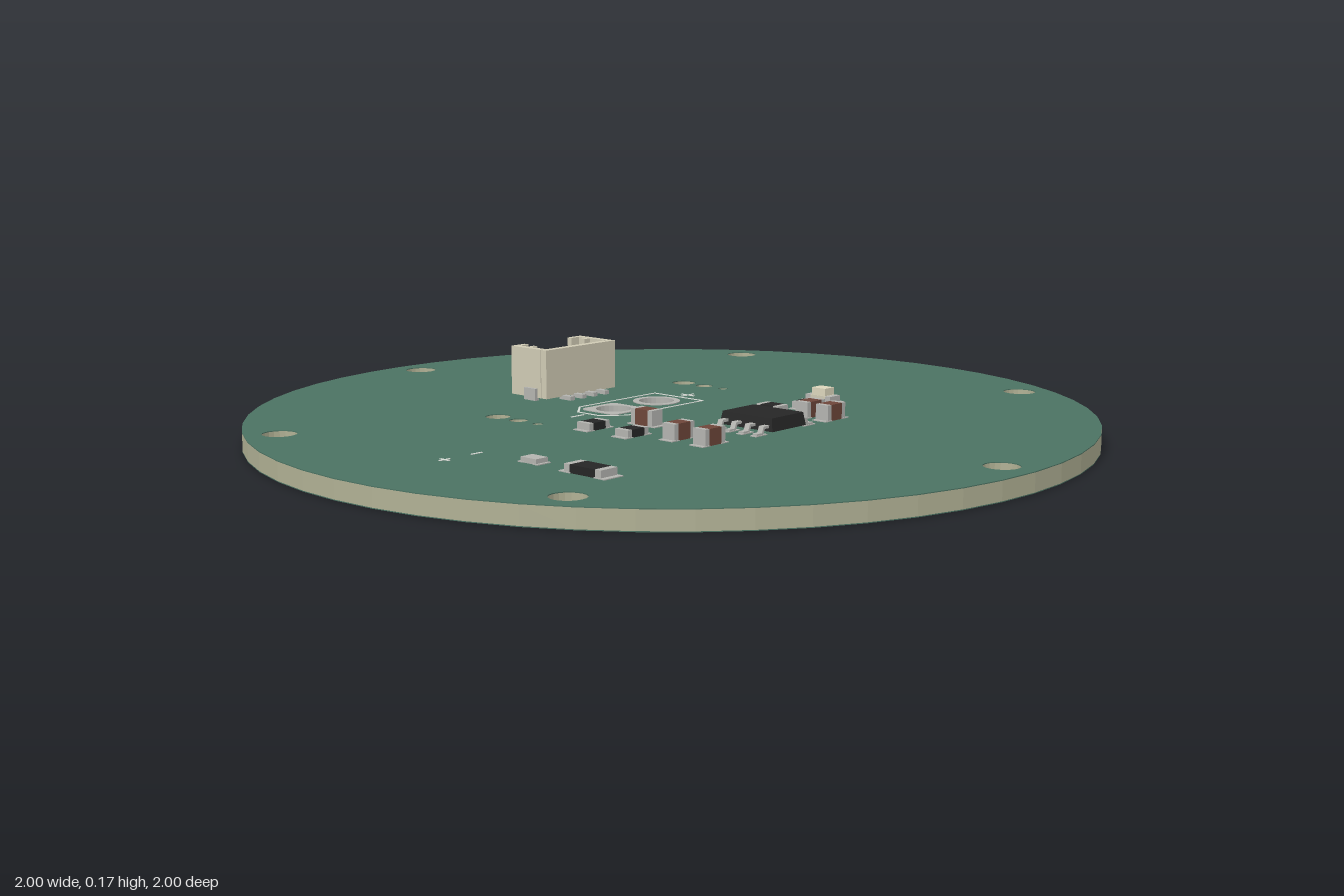
import * as THREE from 'three';

const TOP = 0.047; // upper surface of the board
const mat = (color, side = THREE.FrontSide) => new THREE.MeshStandardMaterial({ color, side, flatShading: true });
const MATS = {
  mask: mat(0x4b7262), core: mat(0xb0b094), copper: mat(0xb0a01a), tin: mat(0xb4b4b0),
  silk: mat(0xd8dcd6), black: mat(0x262626), brown: mat(0x6e463a), shell: mat(0xcfcab4),
  lens: mat(0xdcd6bc), barrel: mat(0xb4b4b0, THREE.DoubleSide),
};

function add(parent, name, geometry, material, x = 0, y = 0, z = 0) {
  const m = new THREE.Mesh(geometry, material);
  m.name = name;
  m.position.set(x, y, z);
  parent.add(m);
  return m;
}
const box = (parent, name, material, w, h, d, x, y, z) =>
  add(parent, name, new THREE.BoxGeometry(w, h, d), material, x, y, z);

// Polygonal circle drawn in the x-z plane
function circle(r, n, cx = 0, cz = 0, Type = THREE.Shape) {
  const pts = [];
  for (let i = 0; i < n; i++) {
    const a = (i / n) * Math.PI * 2;
    pts.push(new THREE.Vector2(cx + r * Math.cos(a), cz + r * Math.sin(a)));
  }
  return new Type(pts);
}

// Extrude an x-z outline downward from height y
function plate(shape, y, thickness, curveSegments = 8) {
  const g = new THREE.ExtrudeGeometry(shape, { depth: thickness, bevelEnabled: false, curveSegments });
  return g.rotateX(Math.PI / 2).translate(0, y, 0);
}

function boardShape() {
  const s = circle(1, 56);
  const hole = (x, z, r, n = 20) => s.holes.push(circle(r, n, x, z, THREE.Path));
  for (let i = 0; i < 6; i++) {
    const a = Math.PI / 6 + (i * Math.PI) / 3;
    hole(0.92 * Math.cos(a), 0.92 * Math.sin(a), 0.04);
  }
  for (const side of [-1, 1]) {
    hole(side * 0.325, -0.255, 0.03);
    hole(side * 0.325, -0.185, 0.022, 16);
    hole(side * 0.325, -0.12, 0.013, 12);
    hole(side * 0.075, -0.12, 0.046, 24);
  }
  return s;
}

// Copper strip following an arc, with round ends
function arcStrip(r, w, from, to) {
  const s = new THREE.Shape(), h = w / 2;
  s.absarc(0, 0, r + h, from, to, false);
  s.absarc(r * Math.cos(to), r * Math.sin(to), h, to, to + Math.PI, false);
  s.absarc(0, 0, r - h, to, from, true);
  s.absarc(r * Math.cos(from), r * Math.sin(from), h, from + Math.PI, from + 2 * Math.PI, false);
  return s;
}

function roundedSquare(h, r) {
  const s = new THREE.Shape();
  s.absarc(h - r, h - r, r, 0, Math.PI / 2, false);
  s.absarc(r - h, h - r, r, Math.PI / 2, Math.PI, false);
  s.absarc(r - h, r - h, r, Math.PI, Math.PI * 1.5, false);
  s.absarc(h - r, r - h, r, Math.PI * 1.5, Math.PI * 2, false);
  return s;
}

// Two-terminal chip: body between two metal ends on flat solder pads
function chip(parent, name, x, z, { len = 0.065, wid = 0.04, h = 0.018, body = MATS.black, upright = false, end = 0.2 }) {
  const g = new THREE.Group();
  g.name = name;
  g.position.set(x, TOP, z);
  if (upright) g.rotation.y = Math.PI / 2;
  const e = len * end;
  box(g, 'chipBody', body, len - 2 * e, h, wid, 0, h / 2, 0);
  for (const s of [-1, 1]) {
    box(g, 'chipEnd', MATS.tin, e, h, wid, s * (len - e) / 2, h / 2, 0);
    box(g, 'solderPad', MATS.tin, e * 1.9, 0.002, wid * 1.12, s * (len / 2 - e * 0.15), 0.001, 0);
  }
  parent.add(g);
  return g;
}

function integratedCircuit(parent) {
  const g = new THREE.Group();
  g.name = 'integratedCircuit';
  g.position.set(-0.005, TOP, 0.285);
  const body = new THREE.BoxGeometry(0.12, 0.03, 0.155);
  const p = body.attributes.position;
  for (let i = 0; i < p.count; i++) if (p.getY(i) > 0) p.setXYZ(i, p.getX(i) * 0.92, p.getY(i), p.getZ(i) * 0.94);
  add(g, 'packageBody', body, MATS.black, 0, 0.021, 0);
  // Gull-wing leads
  const lead = new THREE.Shape([[0.055, 0.014], [0.073, 0.014], [0.079, 0.001], [0.1, 0.001], [0.1, 0.006],
    [0.083, 0.006], [0.077, 0.02], [0.055, 0.02]].map(([a, b]) => new THREE.Vector2(a, b)));
  const leadGeo = new THREE.ExtrudeGeometry(lead, { depth: 0.014, bevelEnabled: false }).translate(0, 0, -0.007);
  for (const turn of [0, Math.PI]) for (let i = 0; i < 4; i++) {
    const z = (i - 1.5) * 0.04, s = turn ? -1 : 1;
    add(g, 'lead', leadGeo, MATS.tin, 0, 0, z).rotation.y = turn;
    box(g, 'solderPad', MATS.tin, 0.04, 0.002, 0.018, s * 0.086, 0.001, z);
  }
  parent.add(g);
}

function connector(parent) {
  const g = new THREE.Group();
  g.name = 'connector';
  g.position.set(0, TOP, -0.367);
  const b = (name, w, h, d, x, y, z, m = MATS.shell) => box(g, name, m, w, h, d, x, y, z);
  b('connectorFloor', 0.236, 0.035, 0.116, 0, 0.0255, 0);
  b('frontWall', 0.24, 0.12, 0.018, 0, 0.068, 0.053);
  b('backWall', 0.24, 0.088, 0.014, 0, 0.052, -0.055);
  for (const s of [-1, 1]) {
    b('sideWall', 0.018, 0.12, 0.09, s * 0.111, 0.068, -0.003);
    b('backWallTop', 0.045, 0.032, 0.014, s * 0.0975, 0.112, -0.055);
    b('keyRib', 0.02, 0.1, 0.012, s * 0.092, 0.078, -0.015);
    b('sideFoot', 0.012, 0.03, 0.04, s * 0.122, 0.016, 0.01, MATS.tin);
  }
  for (let i = 0; i < 4; i++) {
    const x = (i - 1.5) * 0.04;
    b('contactPin', 0.012, 0.075, 0.012, x, 0.075, 0.012, MATS.tin);
    b('solderTail', 0.014, 0.01, 0.04, x, 0.006, 0.072, MATS.tin);
    b('contactRib', 0.008, 0.09, 0.016, x + 0.02, 0.078, 0.037);
  }
  parent.add(g);
}

function line(parent, x1, z1, x2, z2, w = 0.006) {
  const m = box(parent, 'markingLine', MATS.silk, Math.hypot(x2 - x1, z2 - z1) + w * 0.5, 0.0015, w,
    (x1 + x2) / 2, TOP + 0.0005, (z1 + z2) / 2);
  m.rotation.y = -Math.atan2(z2 - z1, x2 - x1);
}

export function createModel() {
  const root = new THREE.Group();
  root.name = 'circuitBoard';

  // Board: core between two green layers
  const shape = boardShape();
  add(root, 'boardCore', plate(shape, TOP - 0.002, 0.042), MATS.core);
  add(root, 'topMask', plate(shape, TOP, 0.002), MATS.mask);
  add(root, 'bottomMask', plate(shape, 0.003, 0.002), MATS.mask);

  // Concentric contact tracks underneath
  const deg = Math.PI / 180;
  for (let i = 0; i < 4; i++) {
    const r = 0.505 + i * 0.087, cap = 0.031 / r;
    const strip = arcStrip(r, 0.062, 174 * deg + cap, 496.5 * deg - cap);
    add(root, 'contactTrack', plate(strip, 0.0015, 0.0015, 48), MATS.copper);
  }

  // Plated power holes: one squarish pad, one round
  for (const s of [-1, 1]) {
    const pad = s < 0 ? roundedSquare(0.058, 0.02) : circle(0.058, 28);
    pad.holes.push(circle(0.043, 24, 0, 0, THREE.Path));
    add(root, 'topPad', plate(pad, TOP + 0.002, 0.002), MATS.tin, s * 0.075, 0, -0.12);
    add(root, 'bottomPad', plate(pad, 0.0015, 0.0015), MATS.tin, s * 0.075, 0, -0.12);
    add(root, 'holeBarrel', new THREE.CylinderGeometry(0.043, 0.043, TOP, 24, 1, true), MATS.barrel, s * 0.075, TOP / 2, -0.12);
  }

  // Printed outline and polarity marks
  const marks = new THREE.Group();
  marks.name = 'printedMarks';
  root.add(marks);
  const outline = [[0.155, -0.2], [-0.11, -0.2], [-0.16, -0.155], [-0.16, -0.085], [-0.11, -0.04], [0.155, -0.04]];
  outline.forEach((p, i) => line(marks, ...p, ...outline[(i + 1) % outline.length], 0.005));
  for (const [x, z, r] of [[0.19, -0.12, 0.02], [-0.735, 0.03, 0.013]]) {
    line(marks, x - r, z, x + r, z);
    line(marks, x, z - r, x, z + r);
  }
  line(marks, -0.215, -0.12, -0.175, -0.12);
  line(marks, -0.66, 0.03, -0.632, 0.03);

  // Resistors
  for (const [x, z, upright] of [[-0.28, 0.015], [-0.28, 0.135], [0.255, 0.207], [0.16, 0.177, true]])
    chip(root, 'resistor', x, z, { upright });
  // Capacitors
  for (const [x, z, upright] of [[-0.235, 0.235], [-0.235, 0.325], [0.175, 0.28], [0.175, 0.34], [-0.165, 0.073, true]])
    chip(root, 'capacitor', x, z, { upright, h: 0.038, wid: 0.036, body: MATS.brown });
  // Fuse, small diode and indicator lamp
  chip(root, 'fuse', -0.625, 0.35, { upright: true, len: 0.105, wid: 0.048, body: MATS.black, end: 0.16 });
  chip(root, 'diode', -0.625, 0.185, { upright: true, len: 0.046, wid: 0.034, h: 0.012, body: MATS.tin });
  const lamp = chip(root, 'indicatorLamp', 0.355, 0.177, { upright: true, len: 0.075, wid: 0.04, h: 0.016, body: MATS.shell });
  box(lamp, 'lampLens', MATS.lens, 0.04, 0.018, 0.036, 0, 0.025, 0);

  integratedCircuit(root);
  connector(root);
  return root;
}
